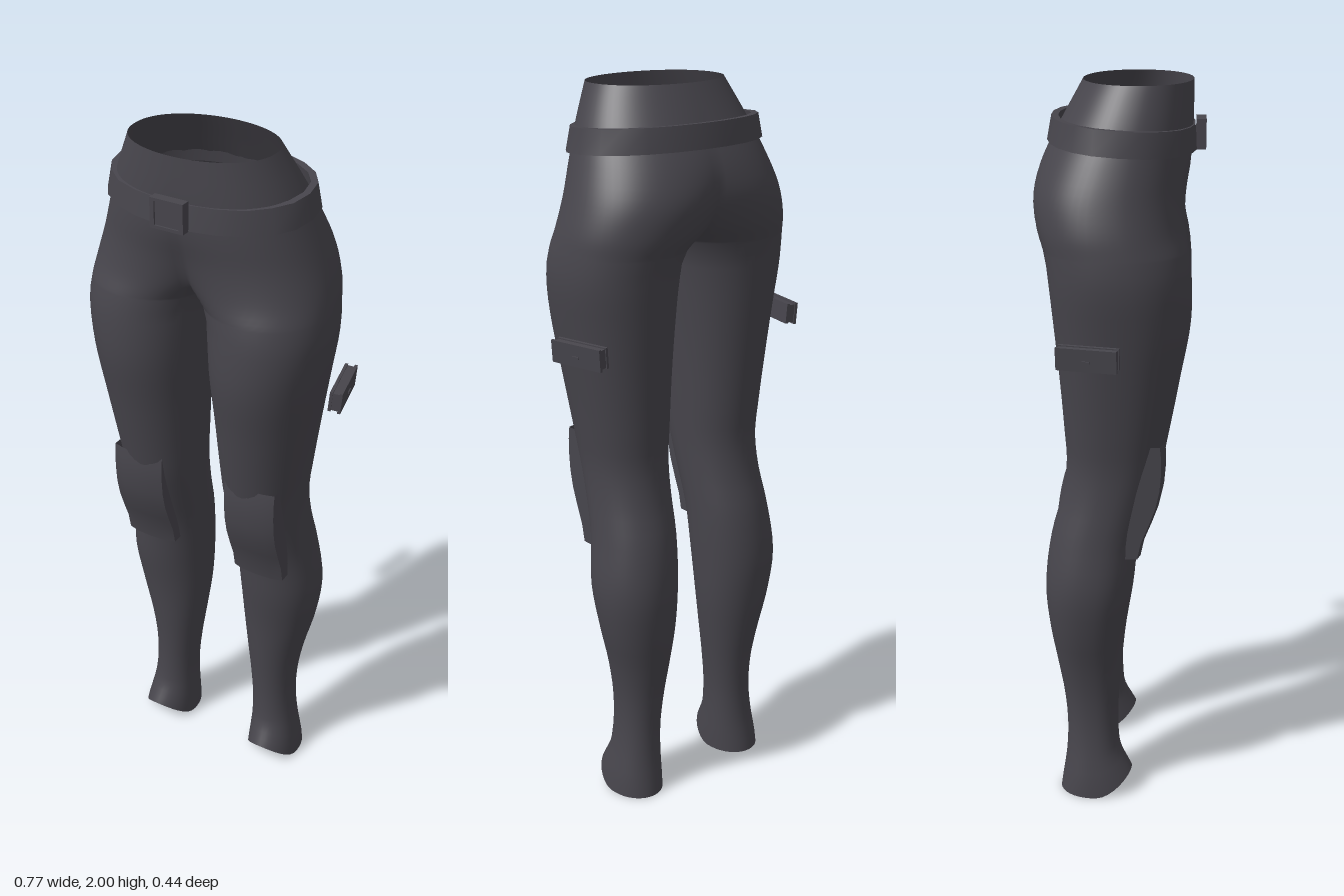
import * as THREE from 'three';
import { mergeGeometries, mergeVertices, toCreasedNormals } from 'three/addons/utils/BufferGeometryUtils.js';

const cloth = new THREE.MeshStandardMaterial({ color: 0x47454c, side: THREE.DoubleSide });
cloth.name = 'charcoal cloth';

// Height, inner x, outer x, back z, front z of one trouser half.
// A negative inner x means the half is cut at the middle plane.
const SECTIONS = [
  [0.00, 0.11, 0.265, -0.165, 0.04],
  [0.05, 0.11, 0.26, -0.158, 0.025],
  [0.10, 0.112, 0.25, -0.15, 0.01],
  [0.20, 0.112, 0.237, -0.145, 0.0],
  [0.30, 0.103, 0.238, -0.153, 0.002],
  [0.40, 0.09, 0.253, -0.17, 0.01],
  [0.52, 0.075, 0.282, -0.19, 0.022],
  [0.65, 0.067, 0.3, -0.2, 0.042],
  [0.80, 0.06, 0.285, -0.182, 0.06],
  [0.90, 0.055, 0.276, -0.155, 0.088],
  [1.00, 0.05, 0.275, -0.14, 0.118],
  [1.10, 0.045, 0.287, -0.145, 0.138],
  [1.25, 0.038, 0.308, -0.156, 0.165],
  [1.40, 0.028, 0.33, -0.17, 0.19],
  [1.50, 0.02, 0.343, -0.18, 0.191],
  [1.56, 0.012, 0.343, -0.187, 0.186],
  [1.585, 0.0, 0.34, -0.193, 0.182],
  [1.64, -0.06, 0.332, -0.212, 0.172],
  [1.72, -0.125, 0.31, -0.222, 0.172],
  [1.80, -0.185, 0.283, -0.203, 0.184],
  [1.90, -0.215, 0.245, -0.153, 0.19],
  [2.00, -0.198, 0.198, -0.097, 0.19],
];
const profile = new THREE.CubicInterpolant(
  SECTIONS.map((s) => s[0]), SECTIONS.flatMap((s) => s.slice(1)), 4);

// Surface through a grid of points; side = -1 mirrors it across x.
function grid(rows, cols, point, side = 1) {
  const pos = [], index = [];
  for (let i = 0; i <= rows; i++) {
    for (let j = 0; j <= cols; j++) {
      const [x, y, z] = point(i, side > 0 ? j : cols - j);
      pos.push(x * side, y, z);
    }
  }
  for (let i = 0; i < rows; i++) {
    for (let j = 0; j < cols; j++) {
      const a = i * (cols + 1) + j, b = a + 1, d = a + cols + 1, c = d + 1;
      index.push(a, b, c, a, c, d);
    }
  }
  const g = new THREE.BufferGeometry();
  g.setAttribute('position', new THREE.Float32BufferAttribute(pos, 3));
  g.setIndex(index);
  return g;
}

function add(parent, name, geometry) {
  const mesh = new THREE.Mesh(geometry, cloth);
  mesh.name = name;
  parent.add(mesh);
  return mesh;
}

function box(parent, name, w, h, d, x, y, z) {
  return add(parent, name, new THREE.BoxGeometry(w, h, d)).position.set(x, y, z);
}

// Legs and hips as two lofts that meet at the middle plane
function trousers() {
  const crotch = 1.585, legRows = 44, hipRows = 20, cols = 40;
  const point = (i, j) => {
    const k = (i - legRows) / hipRows;
    const y = i <= legRows ? crotch * i / legRows : crotch + (2 - crotch) * k ** 1.4;
    let [xi, xo, zb, zf] = profile.evaluate(y);
    if (i === legRows) xi = 0;
    const cx = (xi + xo) / 2, a = (xo - xi) / 2;
    const t0 = xi >= 0 ? Math.PI / 2 : Math.asin(Math.max(0, Math.min(1, cx / a)));
    const t = -t0 + (Math.PI + 2 * t0) * j / cols;
    const c = Math.cos(t);
    const seam = i >= legRows && (j === 0 || j === cols);
    // hem rises in an arch over the instep
    const lift = y < 0.15 ? 0.065 * Math.max(0, c) ** 1.5 * (1 - y / 0.15) : 0;
    return [
      seam ? 0 : cx + a * Math.sin(t),
      y + lift,
      (zf + zb) / 2 + (zf - zb) / 2 * Math.sign(c) * Math.abs(c) ** 0.9,
    ];
  };
  const both = [1, -1].map((s) => grid(legRows + hipRows, cols, point, s));
  const g = mergeVertices(mergeGeometries(both), 1e-4);
  g.computeVertexNormals();
  return g;
}

// Flat-faced strap around the hips, a little higher at the back
function belt() {
  const loop = [[-0.018, -0.032], [0, -0.032], [-0.012, 0.032], [-0.03, 0.032], [-0.018, -0.032]];
  const n = 22;
  return toCreasedNormals(grid(loop.length - 1, n, (i, j) => {
    const [out, up] = loop[i];
    const t = (j + 0.5) / n * Math.PI * 2, c = Math.cos(t);
    // the strap hangs straight in front and leans inward elsewhere
    const o = c > 0.6 ? out * 0.5 : out;
    const z = 0.005 + (0.197 + o) * Math.sign(c) * Math.abs(c) ** 0.85;
    return [(0.283 + o) * Math.sin(t), 1.868 + up - z * 0.06, z];
  }), 0.5);
}

// Knee pad: a bowed front with side walls and a closed lower edge
function kneePad() {
  const rows = [[0.752, -0.01], [0.752, 0.066], [0.80, 0.076], [0.85, 0.096],
    [0.90, 0.114], [0.95, 0.125], [1.0, 0.129], [1.04, 0.129], [1.075, 0.125]];
  const across = [[-1, -0.085], [-1, -0.012], [-0.6, -0.003], [0, 0], [0.6, -0.003], [1, -0.012], [1, -0.085]];
  return toCreasedNormals(grid(rows.length - 1, across.length - 1, (i, j) => {
    const [y, z] = rows[i], [u, dz] = across[j];
    return [0.178 + u * 0.077, y, i === 0 ? Math.min(z, z + dz) : z + dz];
  }), 0.7);
}

export function createModel() {
  const model = new THREE.Group();
  model.name = 'trousers';
  add(model, 'legsAndHips', trousers());
  add(model, 'belt', belt());

  // Buckle with raised side bars
  const buckle = new THREE.Group();
  buckle.name = 'buckle';
  box(buckle, 'bucklePlate', 0.08, 0.07, 0.02, 0, 1.862, 0.208);
  for (const s of [-1, 1]) {
    box(buckle, 'buckleSide', 0.012, 0.078, 0.026, s * 0.041, 1.862, 0.21);
    box(buckle, 'buckleRail', 0.094, 0.008, 0.026, 0, 1.862 + s * 0.035, 0.21);
  }
  model.add(buckle);

  // Knee pads and thigh pouches, mirrored
  for (const s of [1, -1]) {
    const side = new THREE.Group();
    side.name = s > 0 ? 'leftFittings' : 'rightFittings';
    side.scale.x = s;
    add(side, 'kneePad', kneePad());
    const pouch = new THREE.Group();
    pouch.name = 'thighPouch';
    box(pouch, 'pouchBody', 0.028, 0.05, 0.155, 0, 0, 0);
    box(pouch, 'pouchFlap', 0.008, 0.06, 0.16, 0.013, 0, 0);
    box(pouch, 'pouchBack', 0.008, 0.056, 0.16, -0.013, 0, 0);
    box(pouch, 'pouchClasp', 0.004, 0.006, 0.02, 0.018, -0.004, 0);
    pouch.position.set(0.35, 1.346, -0.07);
    pouch.rotation.set(0, 0.22, -0.08, 'YXZ');
    side.add(pouch);
    model.add(side);
  }
  return model;
}
